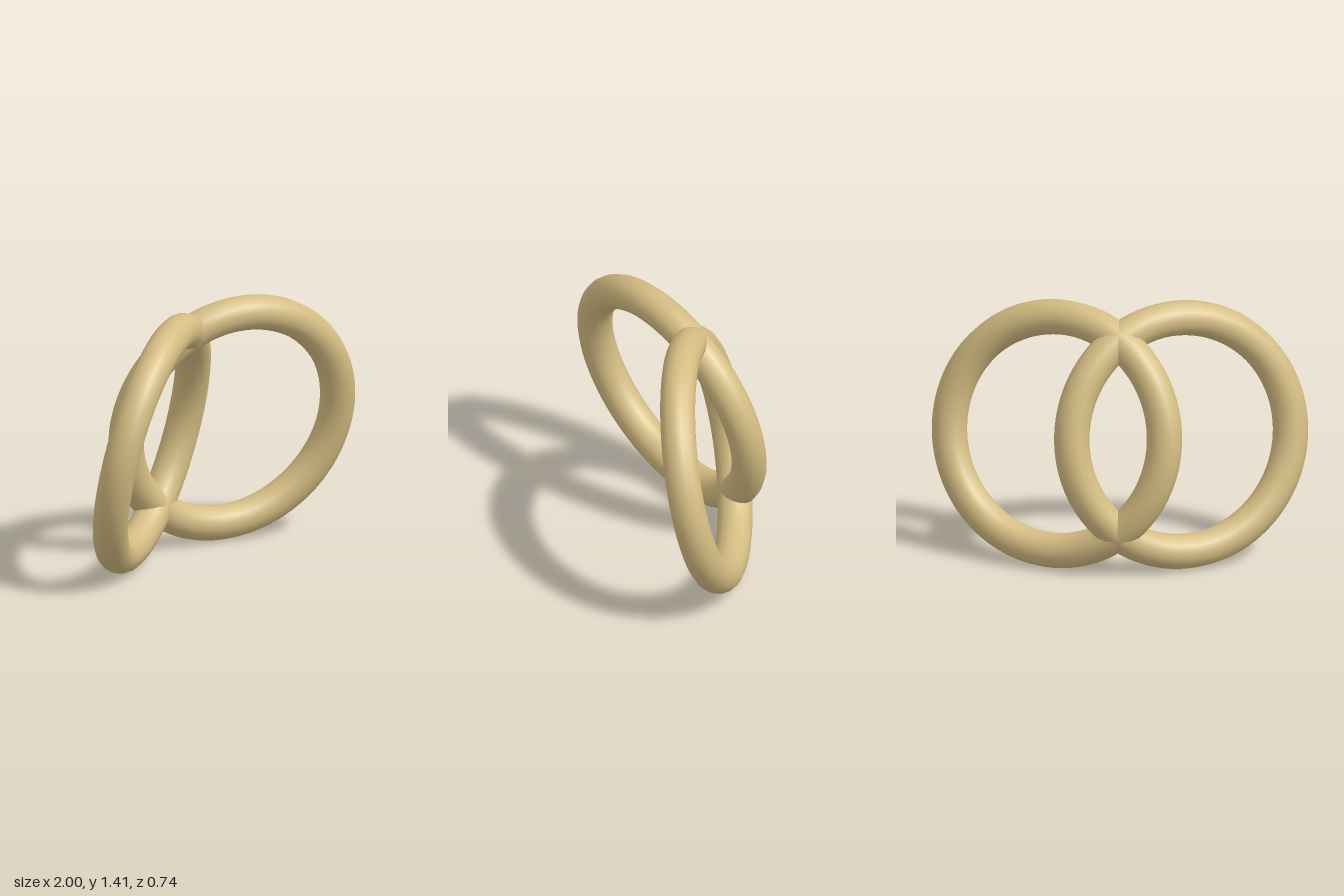
import * as THREE from 'three';

const RING_RADIUS = 0.625;
const TUBE_RADIUS = 0.094;

export function createModel() {
  const group = new THREE.Group();
  group.name = 'interlockedRings';
  const gold = new THREE.MeshStandardMaterial({ color: 0xd4bc82 });
  const ringGeometry = new THREE.TorusGeometry(RING_RADIUS, TUBE_RADIUS, 16, 96);

  // Two mirrored rings, each turned outward and tipped forward so they cross
  for (const side of [1, -1]) {
    const ring = new THREE.Mesh(ringGeometry, gold);
    ring.name = side > 0 ? 'leftRing' : 'rightRing';
    ring.position.set(side * 0.33, 0.706, 0);
    ring.rotation.set(0.213, -side * 0.407, 0, 'YXZ');
    group.add(ring);
  }
  return group;
}
